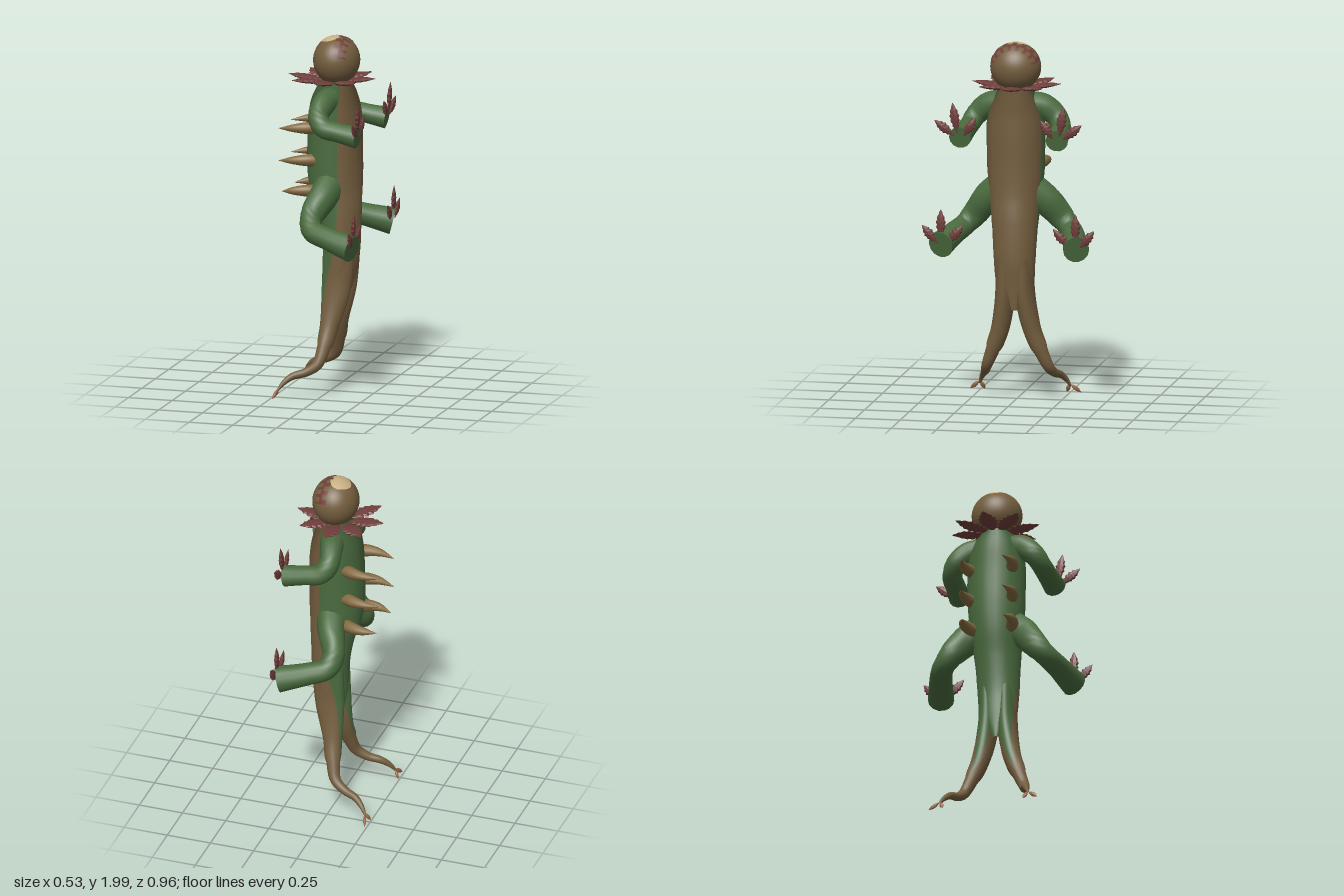
import * as THREE from 'three';

const mat = (name, color, side = THREE.FrontSide) => {
  const m = new THREE.MeshStandardMaterial({ color, side });
  m.name = name;
  return m;
};

// Sweep an ellipse along rows of [x, y, z, radiusA, radiusB, splitAngle].
// range(split) gives the first and last angle of the section.
function sweep(rows, { ref, steps = 40, sides = 20, range = null, flat = false }) {
  const path = new THREE.CatmullRomCurve3(rows.map(r => new THREE.Vector3(r[0], r[1], r[2])));
  const size = new THREE.CatmullRomCurve3(rows.map(r => new THREE.Vector3(r[3], r[4], r[5] ?? 0)));
  const pos = [], nor = [], idx = [], w = sides + 1;
  const add = (p, n) => { pos.push(p.x, p.y, p.z); nor.push(n.x, n.y, n.z); return pos.length / 3 - 1; };
  const ends = [];
  for (let i = 0; i <= steps; i++) {
    const t = i / steps, c = path.getPoint(t), s = size.getPoint(t), T = path.getTangent(t);
    const A = ref.clone().cross(T).normalize(), B = T.clone().cross(A);
    const [from, to] = range ? range(Math.min(s.z, Math.PI)) : [0, Math.PI * 2];
    const rA = Math.max(s.x, 0.0005), rB = Math.max(s.y, 0.0005), ring = [];
    for (let j = 0; j <= sides; j++) {
      const a = from + (to - from) * j / sides, ca = Math.cos(a), sa = Math.sin(a);
      const p = c.clone().addScaledVector(A, ca * rA).addScaledVector(B, sa * rB);
      const n = A.clone().multiplyScalar(ca / rA).addScaledVector(B, sa / rB).normalize();
      add(p, n);
      ring.push(p);
    }
    if (i === 0 || i === steps) ends.push({ c, ring, n: T.clone().multiplyScalar(i ? 1 : -1) });
  }
  for (let i = 0; i < steps; i++) for (let j = 0; j < sides; j++) {
    const a = i * w + j, c = a + w;
    idx.push(a, a + 1, c, a + 1, c + 1, c);
  }
  // flat end caps on closed sections
  if (!range) ends.forEach(({ c, ring, n }, e) => {
    const mid = add(c, n), first = ring.map(p => add(p, n))[0];
    for (let j = 0; j < sides; j++) {
      const a = first + j;
      e ? idx.push(mid, a, a + 1) : idx.push(mid, a + 1, a);
    }
  });
  let g = new THREE.BufferGeometry();
  g.setAttribute('position', new THREE.Float32BufferAttribute(pos, 3));
  g.setAttribute('normal', new THREE.Float32BufferAttribute(nor, 3));
  g.setIndex(idx);
  if (flat) { g = g.toNonIndexed(); g.computeVertexNormals(); }
  return g;
}

// Puffy leaf with a saw-toothed edge, from base to tip
function leaf(base, tip, ref, width, thick, n = 14, teeth = 0.75) {
  const a = new THREE.Vector3(...base), b = new THREE.Vector3(...tip), rows = [];
  for (let i = 0; i <= n; i++) {
    const t = i / n, k = Math.sin(Math.PI * Math.pow(t, 1.1));
    const p = a.clone().lerp(b, t);
    rows.push([p.x, p.y, p.z, width * k * (i % 2 ? 1 : teeth), thick * k]);
  }
  return sweep(rows, { ref, steps: n, sides: 8, flat: true });
}

const X = new THREE.Vector3(1, 0, 0), Y = new THREE.Vector3(0, 1, 0), Z = new THREE.Vector3(0, 0, 1);
const HEAD = { x: 0.037, y: 1.865, rx: 0.128, ry: 0.135, rz: 0.14 };

// Wrap a flat geometry spanning -1..1 onto the head
function onHead(g, x, hx, angle, ha, lift) {
  const p = g.attributes.position;
  for (let i = 0; i < p.count; i++) {
    const px = x + p.getX(i) * hx, f = angle - p.getY(i) * ha;
    const u = (px - HEAD.x) / HEAD.rx, s = Math.sqrt(Math.max(0, 1 - u * u));
    p.setXYZ(i, HEAD.x + HEAD.rx * u * lift, HEAD.y + HEAD.ry * s * Math.cos(f) * lift, HEAD.rz * s * Math.sin(f) * lift);
  }
  g.computeVertexNormals();
  return g;
}

export function createModel() {
  const green = mat('skin green', 0x4a6b3f), brown = mat('belly brown', 0x735d3e);
  const red = mat('leaf red', 0x703e3b), tan = mat('crown tan', 0xc9b186);
  const horn = mat('spike brown', 0x83693f), bud = mat('bud brown', 0x9a6848);
  const root = new THREE.Group();
  root.name = 'creature';
  const put = (name, geometry, material) => {
    const m = new THREE.Mesh(geometry, material);
    m.name = name;
    root.add(m);
  };
  // Brown belly in front, green back behind, split along the flanks
  const twoTone = (name, rows, steps) => {
    put(name + 'Belly', sweep(rows, { ref: Z, steps, sides: 16, range: b => [-b, b] }), brown);
    put(name + 'Back', sweep(rows, { ref: Z, steps, sides: 16, range: b => [b, 2 * Math.PI - b] }), green);
  };

  // Torso
  twoTone('torso', [
    [0.04, 1.77, 0, 0.07, 0.07, 1.1], [0.035, 1.70, 0, 0.11, 0.12, 1.1],
    [0.03, 1.62, 0, 0.137, 0.15, 1.15], [0.03, 1.5, 0, 0.15, 0.162, 1.2],
    [0.028, 1.3, 0, 0.153, 0.158, 1.2], [0.035, 1.15, 0, 0.145, 0.145, 1.25],
    [0.055, 1.0, 0, 0.12, 0.128, 1.4], [0.066, 0.8, 0, 0.1, 0.115, 1.75],
    [0.055, 0.65, 0, 0.083, 0.1, 2.15], [0.045, 0.52, 0, 0.045, 0.025, 2.6],
  ], 54);

  // Head, pale crown and toothed mouth
  const skull = new THREE.SphereGeometry(1, 40, 28);
  skull.scale(HEAD.rx, HEAD.ry, HEAD.rz).translate(HEAD.x, HEAD.y, 0);
  put('head', skull, brown);
  put('crown', onHead(new THREE.RingGeometry(0, 1, 28, 6), 0.008, 0.056, 0, 0.52, 1.008), tan);
  const strip = (n = 4) => new THREE.PlaneGeometry(2, 2, 4, n);
  put('mouth', onHead(strip(30), 0.1, 0.02, 0, 1.3, 1.012), red);
  for (let i = -3; i <= 3; i++) {
    put('upperGumGap', onHead(strip(), 0.066, 0.016, i * 0.39, 0.09, 1.012), red);
    put('lowerTooth', onHead(strip(), 0.106, 0.014, i * 0.37, 0.11, 1.02), brown);
  }

  // Leaf collar
  for (let i = 0; i < 8; i++) {
    const a = i * Math.PI / 4, c = Math.cos(a), s = Math.sin(a);
    put('collarLeaf', leaf([0.01 + 0.03 * c, 1.745, 0.03 * s], [0.01 + 0.25 * c, 1.772, 0.25 * s], Y, 0.055, 0.013), red);
  }

  for (const s of [1, -1]) {
    const side = s > 0 ? 'left' : 'right';
    // Split tail, curling back at the ends
    twoTone(side + 'Tail', [
      [0.066, 0.82, 0.052 * s, 0.09, 0.05, 1.8], [0.052, 0.6, 0.056 * s, 0.082, 0.054, 2.25],
      [0.024, 0.4, 0.09 * s, 0.053, 0.05, 2.75], [0.005, 0.28, 0.135 * s, 0.038, 0.038, 3.14],
      [-0.022, 0.19, 0.172 * s, 0.03, 0.03, 3.14], [-0.08, 0.148, 0.192 * s, 0.024, 0.024, 3.14],
      [-0.15, 0.125, 0.212 * s, 0.02, 0.02, 3.14], [-0.195, 0.09, 0.235 * s, 0.014, 0.014, 3.14],
      [-0.222, 0.05, 0.253 * s, 0.006, 0.006, 3.14],
    ], 48);
    for (const [x, z] of [[-0.238, 0.31], [-0.245, 0.228]])
      put(side + 'TailBud', leaf([-0.218, 0.062, 0.25 * s], [x, 0.012, z * s], X, 0.012, 0.009, 8, 1), bud);

    // Arms and legs reaching forward
    put(side + 'Arm', sweep([
      [0.03, 1.66, 0.07 * s, 0.07, 0.07], [0.01, 1.645, 0.15 * s, 0.063, 0.07],
      [0.0, 1.585, 0.225 * s, 0.055, 0.06], [0.04, 1.535, 0.255 * s, 0.055, 0.055],
      [0.12, 1.518, 0.262 * s, 0.056, 0.053], [0.24, 1.497, 0.27 * s, 0.062, 0.06],
    ], { ref: Y, sides: 14 }), green);
    put(side + 'Leg', sweep([
      [0.035, 1.19, 0.07 * s, 0.085, 0.1], [0.005, 1.12, 0.165 * s, 0.075, 0.085],
      [-0.035, 1.02, 0.245 * s, 0.06, 0.07], [-0.01, 0.965, 0.295 * s, 0.06, 0.06],
      [0.09, 0.935, 0.335 * s, 0.064, 0.062], [0.24, 0.897, 0.378 * s, 0.072, 0.075],
    ], { ref: Y, sides: 14 }), green);

    // Leafy claws: [base z, base y, tip z, tip y]
    const claws = [
      [0.285, 1.52, 0.31, 1.69], [0.3, 1.505, 0.41, 1.592], [0.25, 1.505, 0.18, 1.61],
      [0.375, 0.925, 0.375, 1.095], [0.395, 0.905, 0.48, 1.005], [0.345, 0.905, 0.25, 1.01],
    ];
    for (const [bz, by, tz, ty] of claws)
      put(side + 'Claw', leaf([0.245, by, bz * s], [0.25, ty, tz * s], X, 0.029, 0.012, 12), red);

    // Back spikes in three rows
    for (const [y, tip] of [[1.49, -0.26], [1.31, -0.26], [1.14, -0.24]])
      put(side + 'Spike', sweep([
        [-0.04, y + 0.008, 0.1 * s, 0.036, 0.036], [-0.1, y + 0.01, 0.128 * s, 0.033, 0.033],
        [-0.17, y + 0.006, 0.135 * s, 0.022, 0.022], [tip, y - 0.004, 0.115 * s, 0.001, 0.001],
      ], { ref: Y, steps: 16, sides: 12 }), horn);
  }
  return root;
}
